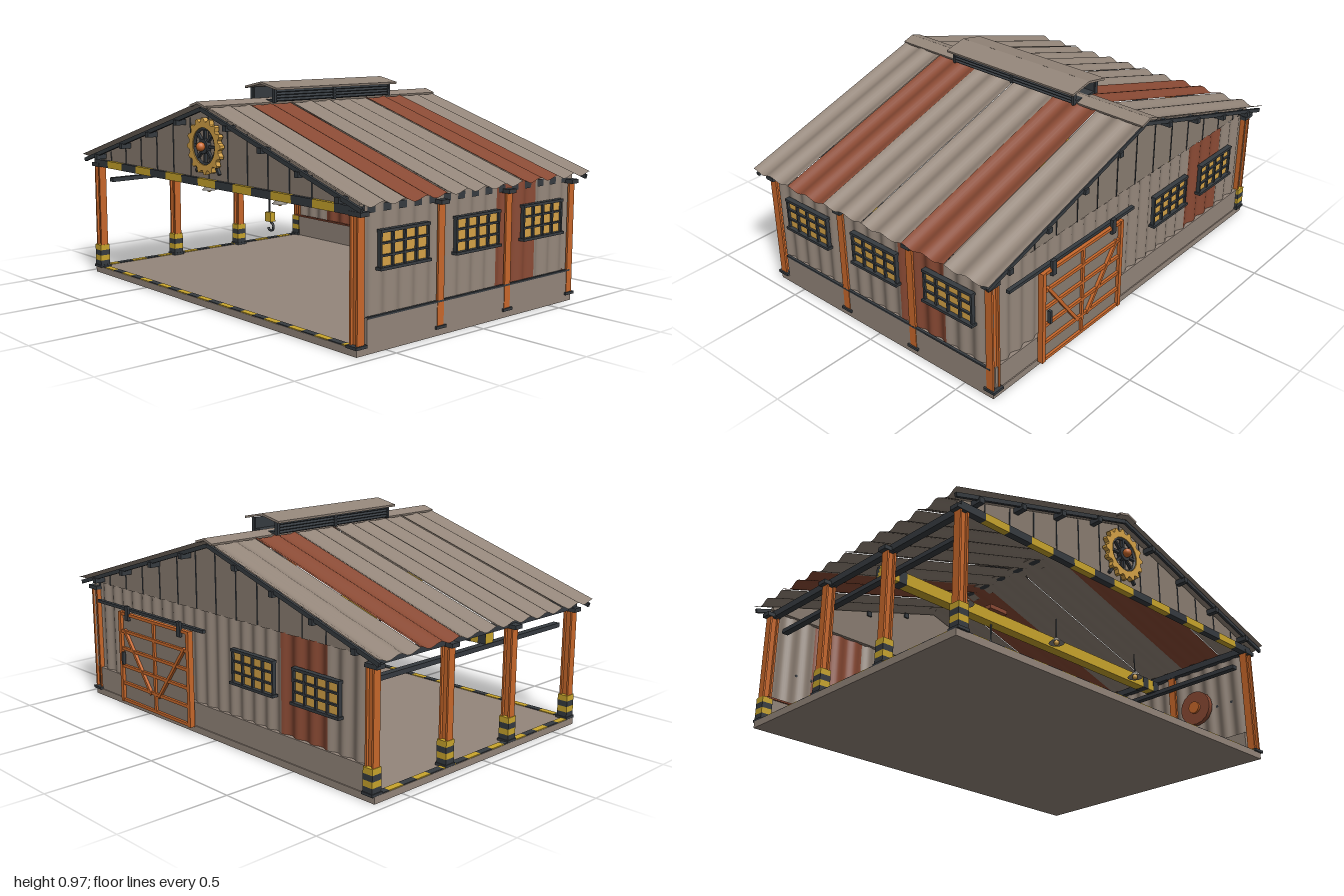
import * as THREE from 'three';

const paint = (name, color, side = THREE.FrontSide) => {
  const m = new THREE.MeshStandardMaterial({ color, side });
  m.name = name;
  return m;
};

export function createModel() {
  const root = new THREE.Group();
  root.name = 'workshopShed';
  const sheetGrey = paint('taupe sheet', 0x94867a, THREE.DoubleSide);
  const rust = paint('rust red', 0x8a4a34, THREE.DoubleSide);
  const concrete = paint('concrete', 0x94867b);
  const board = paint('gable board', 0x8a7d71);
  const dark = paint('dark steel', 0x363b40, THREE.DoubleSide);
  const yellow = paint('safety yellow', 0xc9a52c);
  const orange = paint('orange steel', 0xc9682b);
  const amber = paint('amber glass', 0xd6a347);
  const grey = paint('grey metal', 0x85817a, THREE.DoubleSide);

  const add = (geo, mat, name, x, y, z, parent = root) => {
    const m = new THREE.Mesh(geo, mat);
    m.name = name;
    m.position.set(x, y, z);
    parent.add(m);
    return m;
  };
  const box = (w, h, d, mat, name, x, y, z, parent) =>
    add(new THREE.BoxGeometry(w, h, d), mat, name, x, y, z, parent);
  const cyl = (r1, r2, h, mat, name, x, y, z, parent) =>
    add(new THREE.CylinderGeometry(r1, r2, h, 16), mat, name, x, y, z, parent);
  const group = (name, x, y, z, ry = 0) => {
    const g = new THREE.Group();
    g.name = name;
    g.position.set(x, y, z);
    g.rotation.y = ry;
    root.add(g);
    return g;
  };
  // Wavy metal sheet in its local xy plane, waves running across x
  const sheet = (w, h, waves, amp, mat, name, x, y, z) => {
    const geo = new THREE.PlaneGeometry(w, h, Math.ceil(waves * 10), 1);
    const p = geo.attributes.position;
    for (let i = 0; i < p.count; i++) {
      p.setZ(i, amp * Math.cos((p.getX(i) / w + 0.5) * waves * Math.PI * 2));
    }
    geo.computeVertexNormals();
    return add(geo, mat, name, x, y, z);
  };
  // Row of alternating yellow and dark blocks along x or z
  const hazard = (name, axis, from, to, n, a, b, x, y, z) => {
    const s = (to - from) / n;
    for (let i = 0; i < n; i++) {
      const c = from + s * (i + 0.5), mat = i % 2 ? yellow : dark;
      if (axis === 'x') box(s, a, b, mat, name, c, y, z);
      else box(a, b, s, mat, name, x, y, c);
    }
  };

  // Floor slab with hazard edging on the two open sides
  box(1.9, 0.03, 1.31, concrete, 'floorSlab', -0.005, 0.015, 0);
  hazard('frontFloorStripe', 'x', -0.95, 0.94, 24, 0.006, 0.03, 0, 0.031, 0.638);
  hazard('sideFloorStripe', 'z', -0.65, 0.62, 16, 0.03, 0.006, -0.938, 0.031, 0);

  // Low concrete walls with sills
  box(0.03, 0.11, 1.24, concrete, 'rightPlinth', 0.93, 0.085, -0.02);
  box(0.012, 0.008, 1.24, dark, 'rightSill', 0.942, 0.14, -0.02);
  box(1.85, 0.11, 0.03, concrete, 'backPlinth', 0, 0.085, -0.635);
  box(1.85, 0.008, 0.012, rust, 'backSill', 0, 0.142, -0.618);

  // Corrugated walls, split where the rusty sheets sit
  const rightWall = (z0, z1, mat) => {
    const w = z1 - z0;
    sheet(w, 0.44, Math.round(w / 0.085), 0.007, mat, 'rightWallSheet', 0.93, 0.36, (z0 + z1) / 2).rotation.y = Math.PI / 2;
  };
  rightWall(-0.14, 0.61, sheetGrey);
  rightWall(-0.395, -0.14, rust);
  rightWall(-0.65, -0.395, sheetGrey);
  const backWall = (x0, x1, mat) => {
    const w = x1 - x0;
    sheet(w, 0.43, Math.round(w / 0.08), 0.007, mat, 'backWallSheet', (x0 + x1) / 2, 0.355, -0.638).rotation.y = Math.PI;
  };
  backWall(-0.94, -0.69, sheetGrey);
  backWall(-0.69, -0.42, rust);
  backWall(-0.42, 0.93, sheetGrey);

  // I-section columns with base plates, brackets and striped guards
  for (const side of [-1, 1]) {
    for (const z of [0.635, 0.2, -0.21, -0.638]) {
      const g = group('column', side * 0.925, 0, z);
      for (const s of [-1, 1]) box(0.009, 0.51, 0.036, orange, 'columnFlange', s * 0.018, 0.285, 0, g);
      box(0.036, 0.51, 0.012, orange, 'columnWeb', 0, 0.285, 0, g);
      box(0.058, 0.012, 0.058, dark, 'basePlate', 0, 0.035, 0, g);
      box(0.065, 0.018, 0.045, dark, 'topBracket', side * 0.008, 0.54, 0, g);
      if (side < 0) {
        for (let i = 0; i < 4; i++) {
          box(0.05, 0.026, 0.05, i % 2 ? yellow : dark, 'columnGuard', 0, 0.05 + i * 0.026, 0, g);
        }
      }
    }
    // Eave beam and crane rail
    box(0.03, 0.03, 1.28, dark, 'eaveBeam', side * 0.915, 0.55, 0);
    box(0.03, 0.02, 1.2, dark, 'craneRail', side * 0.88, 0.465, 0);
  }
  hazard('frontBeam', 'x', -0.945, 0.945, 15, 0.034, 0.03, 0, 0.55, 0.64);

  // Gables with plank seams and dark purlin ends
  const slope = 0.31, pitch = Math.atan(slope);
  for (const s of [-1, 1]) {
    const shape = new THREE.Shape();
    [[-0.94, 0.565], [0.94, 0.565], [0.94, 0.58], [0, 0.87], [-0.94, 0.58]]
      .forEach(([x, y], i) => (i ? shape.lineTo(x, y) : shape.moveTo(x, y)));
    const geo = new THREE.ExtrudeGeometry(shape, { depth: 0.02, bevelEnabled: false });
    add(geo, board, 'gable', 0, 0, s * 0.628 - 0.01);
    for (let i = -6; i <= 6; i++) {
      const x = i * 0.135, h = 0.3 - Math.abs(x) * slope;
      box(0.004, h, 0.004, dark, 'plankSeam', x, 0.565 + h / 2, s * 0.639);
    }
    for (const side of [-1, 1]) {
      const barge = box(1.04, 0.018, 0.012, dark, 'bargeBoard', side * 0.497, 0.715, s * 0.676);
      barge.rotation.z = -side * pitch;
      for (const x of [0.18, 0.41, 0.64, 0.87]) {
        box(0.024, 0.024, 0.08, dark, 'purlinEnd', side * x, 0.856 - x * slope, s * 0.65);
      }
    }
  }

  // Roof of six corrugated sheets on each slope
  for (const side of [-1, 1]) {
    for (let i = 0; i < 6; i++) {
      const z = -0.575 + i * 0.23;
      const rusty = i === 1 || (i === 4 && side > 0);
      const m = sheet(0.23, 1.045, 2, 0.009, rusty ? rust : sheetGrey, 'roofSheet', side * 0.5, 0.731 + (i % 2) * 0.003, z);
      m.rotation.set(pitch - Math.PI / 2, side * Math.PI / 2, 0, 'YXZ');
    }
    // Ridge cap and vent cover halves
    box(0.058, 0.01, 1.395, sheetGrey, 'ridgeCap', side * 0.026, 0.889, 0).rotation.z = -side * pitch;
    box(0.114, 0.01, 0.735, sheetGrey, 'ventCover', side * 0.055, 0.957, -0.01).rotation.z = -side * 0.2;
    // Louvred vent sides
    for (let i = 0; i < 4; i++) {
      box(0.02, 0.004, 0.7, dark, 'ventLouvre', side * 0.075, 0.896 + i * 0.013, -0.008).rotation.z = -side * 0.5;
    }
    box(0.006, 0.06, 0.7, dark, 'ventSide', side * 0.066, 0.917, -0.008);
    for (const z of [-0.355, -0.008, 0.34]) box(0.018, 0.062, 0.012, dark, 'ventPost', side * 0.076, 0.915, z);
  }
  box(0.15, 0.01, 0.7, dark, 'ventBase', 0, 0.892, -0.008);

  // Gear ornament on the front gable
  const gear = group('gearOrnament', 0, 0.71, 0.645);
  const outline = new THREE.Shape();
  const teeth = 16;
  for (let i = 0; i < teeth * 4; i++) {
    const a = (i / (teeth * 4)) * Math.PI * 2, r = i % 4 < 2 ? 0.122 : 0.106;
    i ? outline.lineTo(r * Math.cos(a), r * Math.sin(a)) : outline.moveTo(r, 0);
  }
  outline.holes.push(new THREE.Path().absarc(0, 0, 0.08, 0, Math.PI * 2, true));
  add(new THREE.ExtrudeGeometry(outline, { depth: 0.022, bevelEnabled: false, curveSegments: 24 }), amber, 'gearRing', 0, 0, 0, gear);
  add(new THREE.TorusGeometry(0.076, 0.007, 6, 32), dark, 'gearInnerRing', 0, 0, 0.012, gear);
  for (let i = 0; i < 4; i++) {
    box(0.15, 0.012, 0.012, dark, 'gearSpoke', 0, 0, 0.012, gear).rotation.z = (i * Math.PI) / 4;
  }
  cyl(0.032, 0.032, 0.022, dark, 'gearHub', 0, 0, 0.014, gear).rotation.x = Math.PI / 2;
  add(new THREE.SphereGeometry(0.02, 16, 12), orange, 'gearBoss', 0, 0, 0.036, gear);
  for (const s of [-1, 1]) box(0.012, 0.05, 0.012, dark, 'gearBracket', s * 0.07, -0.095, 0, gear).rotation.z = s * 0.6;

  // Barred windows on the right and back walls
  const makeWindow = (x, y, z, ry) => {
    const g = group('window', x, y, z, ry);
    box(0.26, 0.145, 0.008, amber, 'windowGlass', 0, 0, 0, g);
    for (let i = 0; i <= 4; i++) box(0.009, 0.15, 0.018, dark, 'windowBar', -0.128 + i * 0.064, 0, 0.006, g);
    for (const v of [-0.024, 0.024]) box(0.26, 0.008, 0.016, dark, 'windowCrossbar', 0, v, 0.006, g);
    box(0.268, 0.012, 0.024, dark, 'windowHead', 0, 0.071, 0.006, g);
    box(0.276, 0.012, 0.03, dark, 'windowSill', 0, -0.072, 0.008, g);
  };
  for (const z of [0.412, -0.008, -0.428]) makeWindow(0.943, 0.394, z, Math.PI / 2);
  for (const x of [-0.26, -0.64]) makeWindow(x, 0.37, -0.651, Math.PI);

  // Sliding back door with frame, rails, braces and track
  const door = group('slidingDoor', 0.41, 0.25, -0.667, Math.PI);
  box(0.53, 0.43, 0.012, board, 'doorPanel', 0, 0, 0, door);
  for (const s of [-1, 1]) {
    box(0.02, 0.44, 0.026, orange, 'doorStile', s * 0.26, 0, 0.008, door);
    box(0.025, 0.07, 0.014, dark, 'doorHanger', s * 0.2, 0.22, 0.016, door);
  }
  for (let i = 0; i < 6; i++) box(0.52, 0.014, 0.02, orange, 'doorRail', 0, -0.212 + i * 0.0848, 0.008, door);
  box(0.014, 0.43, 0.018, orange, 'doorMullion', 0, 0, 0.008, door);
  for (const s of [-1, 1]) {
    box(0.34, 0.014, 0.02, orange, 'doorBrace', s * 0.13, 0, 0.01, door).rotation.z = s * 0.93;
  }
  box(0.012, 0.06, 0.016, dark, 'doorHandle', -0.23, 0, 0.026, door);
  box(0.82, 0.014, 0.018, dark, 'doorTrack', 0.46, 0.485, -0.668);

  // Overhead crane with hoist and hook
  box(1.78, 0.055, 0.05, yellow, 'craneBeam', 0, 0.5, 0.1);
  for (const s of [-1, 1]) {
    for (const x of [0.79, 0.87]) box(0.04, 0.057, 0.053, dark, 'craneEndStripe', s * x, 0.5, 0.1);
  }
  box(0.1, 0.02, 0.09, rust, 'hoistTrolley', -0.26, 0.535, 0.1);
  cyl(0.004, 0.004, 0.16, dark, 'hoistCable', -0.265, 0.4, 0.1);
  box(0.04, 0.045, 0.03, yellow, 'hookBlock', -0.26, 0.305, 0.1);
  add(new THREE.TorusGeometry(0.02, 0.006, 8, 18, Math.PI * 1.4), dark, 'hook', -0.255, 0.258, 0.1).rotation.z = -Math.PI * 0.9;

  // Hanging lamps
  for (const x of [-0.55, 0, 0.55]) {
    cyl(0.003, 0.003, 0.1, dark, 'lampCord', x, 0.49, 0.25);
    add(new THREE.CylinderGeometry(0.01, 0.036, 0.024, 16, 1, true), grey, 'lampShade', x, 0.43, 0.25);
    add(new THREE.SphereGeometry(0.013, 10, 8), amber, 'lampBulb', x, 0.42, 0.25);
  }

  // Stores along the back and right walls
  box(0.1, 0.08, 0.1, rust, 'crate', 0.67, 0.07, -0.5);
  box(0.08, 0.07, 0.08, rust, 'smallCrate', 0.675, 0.145, -0.5);
  for (const x of [0.765, 0.838]) {
    cyl(0.033, 0.033, 0.085, dark, 'barrel', x, 0.073, -0.5);
    for (const y of [0.055, 0.09]) cyl(0.036, 0.036, 0.006, dark, 'barrelHoop', x, y, -0.5);
  }
  box(0.68, 0.01, 0.02, grey, 'wallPipe', 0.535, 0.2, -0.61);
  cyl(0.085, 0.085, 0.025, rust, 'hoseReel', 0.895, 0.325, 0.35).rotation.z = Math.PI / 2;
  cyl(0.03, 0.03, 0.04, orange, 'hoseReelHub', 0.89, 0.325, 0.35).rotation.z = Math.PI / 2;

  return root;
}
